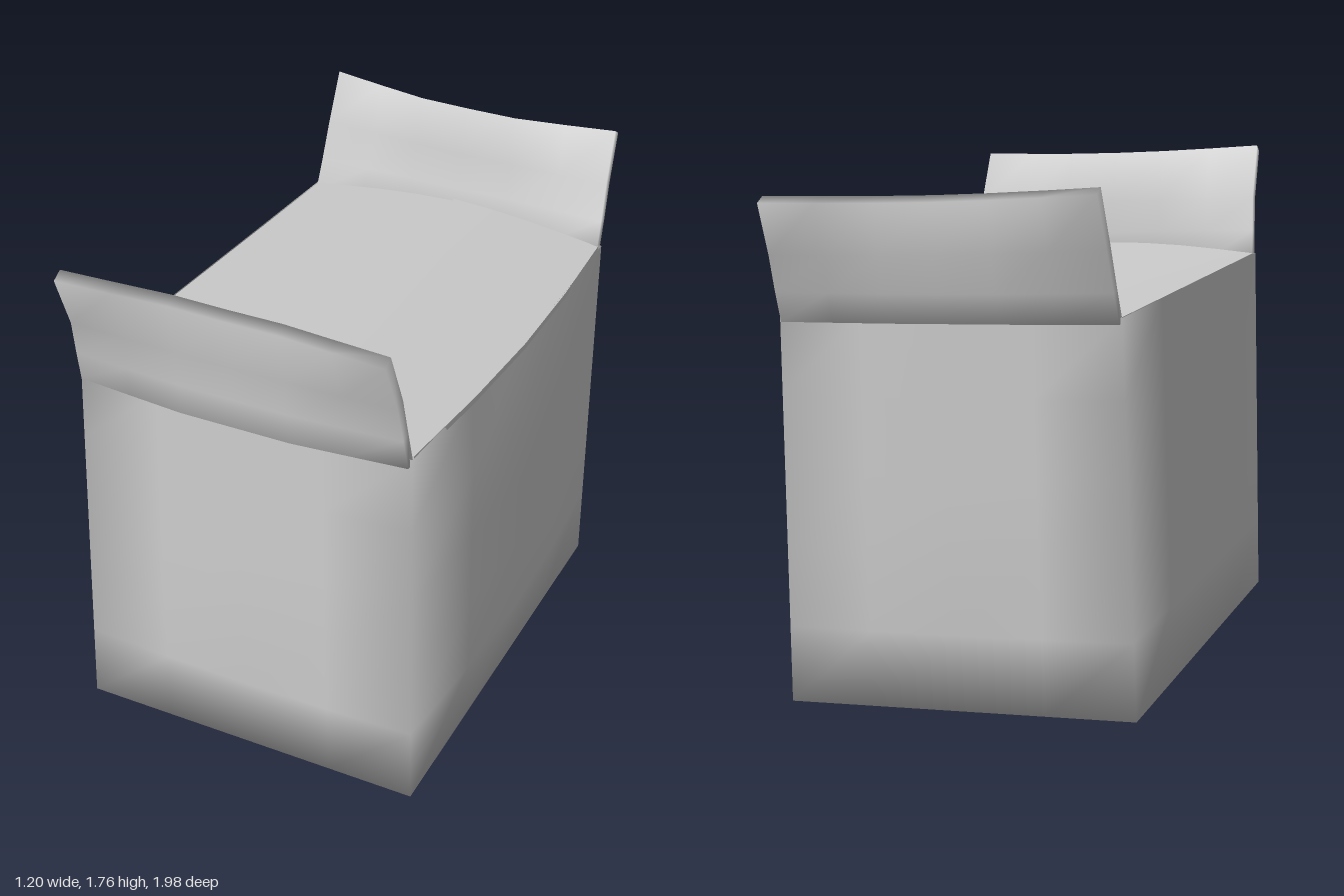
import * as THREE from 'three';
import { mergeVertices } from 'three/addons/utils/BufferGeometryUtils.js';

const lerp = THREE.MathUtils.lerp;
const material = new THREE.MeshStandardMaterial({ color: 0xcccccc, side: THREE.DoubleSide });

// Subdivided box whose points (u, v, w in 0..1) are moved by a rule, optionally left open on top
function warpedBox(name, segments, rule, { open = false, smooth = true } = {}) {
  let geo = new THREE.BoxGeometry(1, 1, 1, ...segments);
  if (open) {
    const top = geo.groups[2];
    const index = Array.from(geo.index.array);
    index.splice(top.start, top.count);
    geo.setIndex(index);
  }
  geo.clearGroups();
  geo.deleteAttribute('uv');
  if (smooth) {
    geo.deleteAttribute('normal');
    geo = mergeVertices(geo);
  }
  const p = geo.attributes.position;
  for (let i = 0; i < p.count; i++) {
    p.setXYZ(i, ...rule(p.getX(i) + 0.5, p.getY(i) + 0.5, p.getZ(i) + 0.5));
  }
  geo.computeVertexNormals();
  const mesh = new THREE.Mesh(geo, material);
  mesh.name = name;
  return mesh;
}

// Corners ordered: back -x, back +x, front -x, front +x
const bottom = [[-0.6, 0.05, -0.74], [0.56, 0.0, -0.74], [-0.59, 0.12, 0.89], [0.57, 0.08, 0.89]];
const rim = [[-0.565, 1.29, -0.8], [0.55, 1.26, -0.8], [-0.565, 1.37, 0.855], [0.545, 1.335, 0.855]];
const blend = (c, u, w, k) => lerp(lerp(c[0][k], c[1][k], u), lerp(c[2][k], c[3][k], u), w);
const arch = (t) => Math.sin(Math.PI * t);

// Bulging carton body, sagging and slightly skewed
function bodyRule(u, v, w) {
  const [x, y, z] = [0, 1, 2].map((k) => lerp(blend(bottom, u, w, k), blend(rim, u, w, k), v));
  const rise = Math.min(1, v * 2.5);
  const side = u * 0.04 * arch(w) * Math.min(1, 1.6 * arch(v) + 0.5 * v);
  const ends = (2 * w - 1) * 0.032 * arch(u) * rise;
  return [x + side, y, z + ends];
}

// Closing panels rise gently from the rim to the middle seam
function panelRule(sign) {
  return (u, v, w) => {
    const seam = lerp(-0.02, 0.0, w) + sign * 0.003;
    const edge = sign < 0 ? -0.56 : 0.541 + 0.035 * arch(w);
    const t = sign < 0 ? u : 1 - u;               // 0 at the rim, 1 at the seam
    const x = lerp(edge, seam, t);
    const across = (x + 0.56) / 1.1;
    const lift = 0.045 * Math.sin(t * Math.PI / 2) + (sign > 0 ? 0.008 * t : 0);
    const y = blend(rim, across, w, 1) + lift - (1 - v) * 0.02;
    return [x, y, lerp(-0.79, 0.835, w) + (2 * w - 1) * 0.012 * t];
  };
}

// Standing end flaps: rows of [z, y at -x, y at +x, half width, bow of the middle]
const flapRows = {
  front: [[0.85, 1.34, 1.31, 0.548, 0.035], [0.875, 1.45, 1.42, 0.542, 0.02],
    [0.9, 1.57, 1.54, 0.535, 0.0], [0.975, 1.752, 1.715, 0.53, -0.04]],
  back: [[0.795, 1.27, 1.24, 0.55, 0.025], [0.84, 1.37, 1.34, 0.546, 0.015],
    [0.89, 1.5, 1.46, 0.54, -0.005], [0.968, 1.665, 1.625, 0.535, -0.05]],
};
function flapRule(rows, dir) {
  return (u, v, w) => {
    const r = rows[Math.round(v * 3)];
    const outward = dir > 0 ? w : 1 - w;
    const middle = Math.min(1, 2.2 * Math.min(u, 1 - u) * 1.4);
    const thickness = (outward - 0.5) * 0.036;
    // The thickness leans with the flap, so the outer top edge dips
    const y = lerp(r[1], r[2], u) - arch(u) * 0.012 * v - (outward - 0.5) * 0.02 * v;
    return [lerp(-r[3], r[3], u) - 0.01, y, dir * (r[0] + r[4] * middle + thickness)];
  };
}

export function createModel() {
  const group = new THREE.Group();
  group.name = 'cartonBox';
  group.add(
    warpedBox('boxBody', [4, 5, 4], bodyRule, { open: true }),
    warpedBox('leftTopPanel', [4, 1, 4], panelRule(1), { smooth: false }),
    warpedBox('rightTopPanel', [4, 1, 4], panelRule(-1), { smooth: false }),
    warpedBox('frontFlap', [6, 3, 1], flapRule(flapRows.front, 1)),
    warpedBox('backFlap', [6, 3, 1], flapRule(flapRows.back, -1)),
  );
  return group;
}
